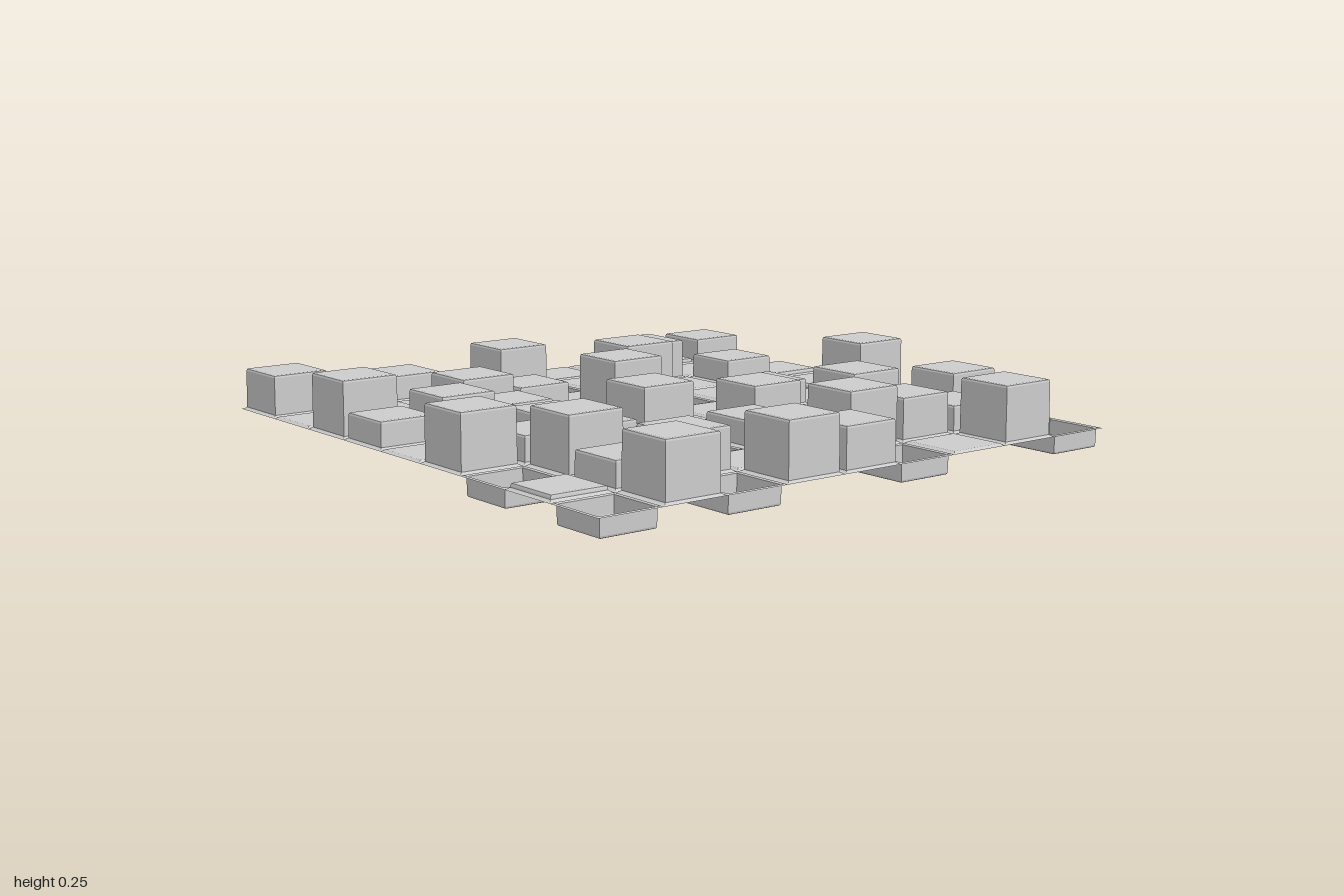
import * as THREE from 'three';
import { mergeGeometries } from 'three/addons/utils/BufferGeometryUtils.js';

const N = 9, PITCH = 2 / N, BASE = 0.065;

// Height of each cell's cap; rows run back to front, columns from -x to +x
const LEVELS = { s: 0, '.': 0.069, l: 0.083, m: 0.15, t: 0.2, H: 0.245 };
const MAP = [
  'tlm.t..lm',
  '.l.ls.t..',
  'H.tm.H.ml',
  'mtm.Hs.s.',
  '.sms..m.H',
  'HmmH.t.sl',
  'sH.sm.H.t',
  'lmt.mHtm.',
  'sHsHtsHHs'.replace('sHH', 's.H'),
];

// Sheet running from the outer edge of a cell inwards: each ring is [half width, y]
function ringSheet(rings) {
  const corner = ([w, y], i) => {
    const [sx, sz] = [[-1, 1], [1, 1], [1, -1], [-1, -1]][i % 4];
    return [sx * w, y, sz * w];
  };
  const pos = [];
  for (let k = 0; k < rings.length - 1; k++) {
    for (let i = 0; i < 4; i++) {
      const a = corner(rings[k], i), b = corner(rings[k], i + 1);
      const c = corner(rings[k + 1], i + 1), d = corner(rings[k + 1], i);
      pos.push(...a, ...b, ...c, ...a, ...c, ...d);
    }
  }
  const cap = [0, 1, 2, 3].map(i => corner(rings[rings.length - 1], i));
  pos.push(...cap[0], ...cap[1], ...cap[2], ...cap[0], ...cap[2], ...cap[3]);
  const g = new THREE.BufferGeometry();
  g.setAttribute('position', new THREE.Float32BufferAttribute(pos, 3));
  g.computeVertexNormals();
  return g;
}

function cellGeometry(h) {
  const edge = PITCH / 2;
  // flat tile with a shallow seam around it
  if (Math.abs(h - BASE) < 0.01) return ringSheet([[edge, BASE - 0.003], [0.104, BASE], [0.098, h]]);
  // hollow block pushed up or pan pushed down, with a small bevel at the cap
  const s = Math.sign(h - BASE), b = 0.008;
  return ringSheet([
    [edge, BASE - 0.003], [0.104, BASE], [0.098, BASE + s * 0.004],
    [0.097, h - s * b], [0.095, h - s * 0.002], [0.09, h],
  ]);
}

export function createModel() {
  const model = new THREE.Group();
  model.name = 'reliefPanel';
  const material = new THREE.MeshStandardMaterial({ color: 0xcccccc, side: THREE.DoubleSide, flatShading: true });
  const parts = { sunkenPans: [], flatTiles: [], raisedBlocks: [] };

  // Sort the cells by kind
  MAP.forEach((row, r) => [...row].forEach((key, c) => {
    const g = cellGeometry(LEVELS[key]);
    g.translate((c - 4) * PITCH, 0, (r - 4) * PITCH);
    const kind = key === 's' ? 'sunkenPans' : key === '.' ? 'flatTiles' : 'raisedBlocks';
    parts[kind].push(g);
  }));

  for (const [name, list] of Object.entries(parts)) {
    const mesh = new THREE.Mesh(mergeGeometries(list), material);
    mesh.name = name;
    model.add(mesh);
  }
  return model;
}
